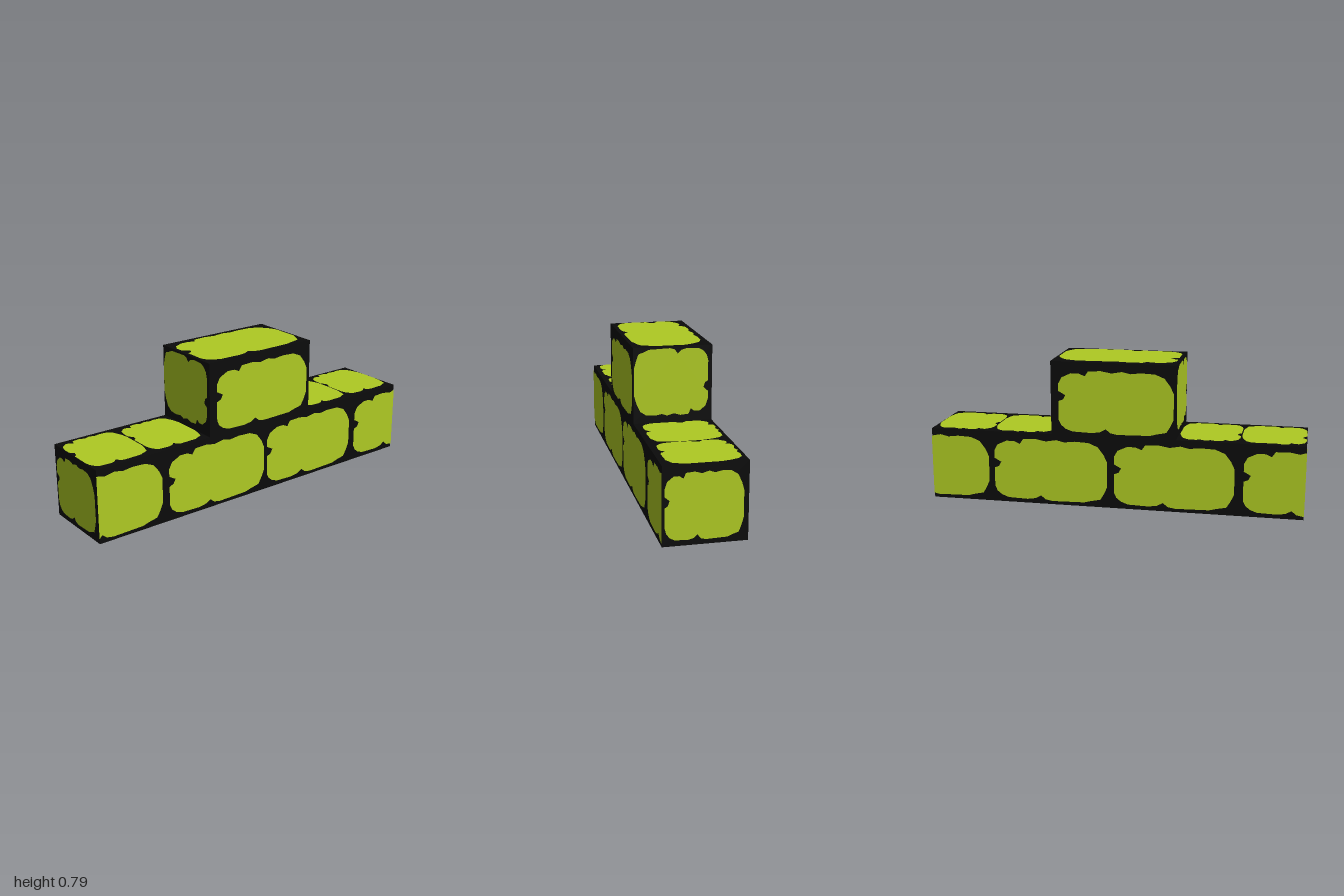
import * as THREE from 'three';

const LIME = new THREE.MeshStandardMaterial({ color: 0xaec923 });
LIME.name = 'lime stone';
const BLACK = new THREE.MeshStandardMaterial({ color: 0x0b0b0b });
BLACK.name = 'black mortar';

const D = 0.206;      // half depth
const H = 0.393;      // height of one course
const GAP = 0.002;    // stone faces stand this far off the mortar

// Worn stone outline in a unit square, counter-clockwise from the left notch
const OUTLINE = [
  [0.07, 0.6], [0.05, 0.53], [0.01, 0.5], [0.01, 0.2], [0.03, 0.12], [0.07, 0.06], [0.13, 0.02],
  [0.3, 0.01], [0.37, 0.03], [0.42, 0.08], [0.46, 0.02], [0.52, 0], [0.8, 0.01], [0.86, 0.04], [0.94, 0.07],
  [0.97, 0.16], [1, 0.28], [1, 0.68], [0.97, 0.8], [0.92, 0.92], [0.84, 0.98],
  [0.72, 0.99], [0.63, 0.97], [0.56, 1], [0.47, 0.97], [0.38, 1], [0.27, 0.99], [0.24, 0.91],
  [0.19, 0.95], [0.12, 0.95], [0.04, 0.88], [0.01, 0.78], [0.01, 0.66],
];

// One stone face; stones running past the block's end are cut at u = -1 or 1
function stone(u0, u1, v0, v1, turned = false) {
  const points = OUTLINE.map(([a, b]) => {
    const u = turned ? 1 - a : a;
    const v = turned ? 1 - b : b;
    return new THREE.Vector2(
      THREE.MathUtils.clamp(u0 + (u1 - u0) * u, -1, 1),
      v0 + (v1 - v0) * v
    );
  });
  const mesh = new THREE.Mesh(new THREE.ShapeGeometry(new THREE.Shape(points)), LIME);
  mesh.name = 'stoneFace';
  return mesh;
}

// A side of the wall holding its stones
function side(name, position, rotation, stones) {
  const group = new THREE.Group();
  group.name = name;
  group.position.set(...position);
  group.rotation.set(...rotation);
  stones.forEach((s) => group.add(stone(...s)));
  return group;
}

function block(name, x0, x1, y0, y1) {
  const geometry = new THREE.BoxGeometry(x1 - x0 - 2 * GAP, y1 - y0, 2 * (D - GAP));
  const mesh = new THREE.Mesh(geometry, BLACK);
  mesh.name = name;
  mesh.position.set((x0 + x1) / 2, (y0 + y1) / 2, 0);
  return mesh;
}

export function createModel() {
  const model = new THREE.Group();
  model.name = 'stoneWall';
  const half = Math.PI / 2;

  // Mortar blocks
  model.add(block('lowerBlock', -1, 1, GAP, H - GAP));
  model.add(block('upperBlock', -0.335, 0.332, H - GAP, 2 * H - GAP));

  // Long sides
  model.add(side('frontStones', [0, 0, D], [0, 0, 0], [
    [-1.24, -0.63, 0.02, 0.36],
    [-0.595, 0.02, 0.02, 0.36],
    [0.035, 0.645, 0.02, 0.36],
    [0.68, 1.29, 0.02, 0.36],
    [-0.295, 0.31, 0.405, 0.74],
  ]));
  model.add(side('backStones', [0, 0, -D], [0, Math.PI, 0], [
    [-1.29, -0.68, 0.02, 0.36],
    [-0.655, -0.03, 0.02, 0.36],
    [0, 0.64, 0.02, 0.36],
    [0.68, 1.29, 0.02, 0.36],
    [-0.295, 0.32, 0.405, 0.74],
  ]));

  // Ends
  for (const s of [1, -1]) {
    model.add(side('lowerEndStone', [s, 0, 0], [0, s * half, 0], [
      [-0.195, 0.18, 0.025, 0.355],
    ]));
    model.add(side('upperEndStone', [s > 0 ? 0.332 : -0.335, 0, 0], [0, s * half, 0], [
      [-0.2, 0.187, 0.425, 0.775, true],
    ]));
  }

  // Tops and underside
  model.add(side('upperTopStone', [0, 2 * H, 0], [-half, 0, 0], [
    [-0.325, 0.318, -0.188, 0.18],
  ]));
  model.add(side('lowerTopStones', [0, H, 0], [-half, 0, 0], [
    [-1, -0.663, -0.18, 0.182],
    [-0.66, -0.338, -0.18, 0.182],
    [0.34, 0.668, -0.175, 0.19],
    [0.67, 0.993, -0.175, 0.19],
  ]));
  model.add(side('undersideStones', [0, 0, 0], [half, 0, 0], [
    [-1.41, -0.65, -0.175, 0.175],
    [-0.62, 0.14, -0.175, 0.175],
    [0.18, 0.96, -0.175, 0.175],
  ]));

  return model;
}
